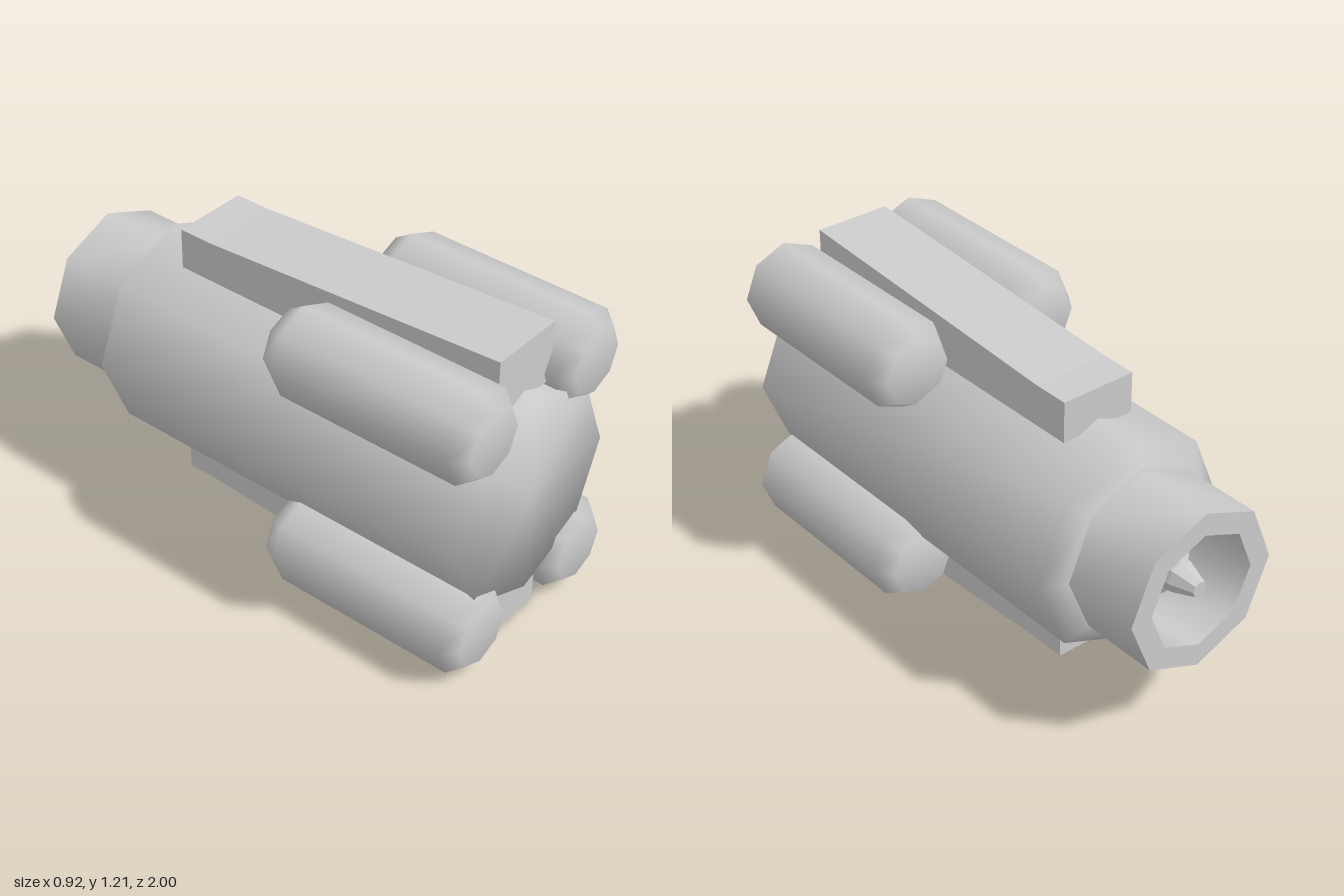
import * as THREE from 'three';
import { toCreasedNormals } from 'three/addons/utils/BufferGeometryUtils.js';

const SIDES = 8;
const MID = 0.61;
const grey = new THREE.MeshStandardMaterial({ color: 0xcccccc });
const faceted = new THREE.MeshStandardMaterial({ color: 0xcccccc, flatShading: true });
const thin = new THREE.MeshStandardMaterial({ color: 0xcccccc, side: THREE.DoubleSide });

// Eight-sided turned shape along z, from [radius, z] pairs
function turned(points) {
  const profile = points.map(([r, z]) => new THREE.Vector2(r, z));
  return new THREE.LatheGeometry(profile, SIDES).rotateX(Math.PI / 2);
}

function add(parent, name, geometry, material = grey) {
  const mesh = new THREE.Mesh(geometry, material);
  mesh.name = name;
  parent.add(mesh);
  return mesh;
}

// Side outline in (z, y), extruded across x and centred
function sideExtrude(points, width) {
  const shape = new THREE.Shape(points.map(([z, y]) => new THREE.Vector2(-z, y)));
  return new THREE.ExtrudeGeometry(shape, { depth: width, bevelEnabled: false })
    .translate(0, 0, -width / 2)
    .rotateY(Math.PI / 2);
}

export function createModel() {
  const model = new THREE.Group();
  model.name = 'engine';

  // Everything on the centre line
  const core = new THREE.Group();
  core.name = 'core';
  core.position.y = MID;
  model.add(core);

  add(core, 'body', turned([
    [0.31, -0.695], [0.33, -0.69], [0.41, -0.65], [0.41, 0.97], [0, 0.97],
  ]));

  // Hollow exhaust nozzle
  add(core, 'nozzle', toCreasedNormals(turned([
    [0, -0.72], [0.225, -0.72], [0.225, -1], [0.313, -1], [0.313, -0.68],
  ]), 0.9));

  // Spike and vanes inside the nozzle
  add(core, 'nozzleSpike', turned([
    [0, -0.99], [0.03, -0.99], [0.06, -0.9], [0.065, -0.82], [0.045, -0.71],
  ]), faceted);
  const vane = new THREE.ShapeGeometry(new THREE.Shape([
    new THREE.Vector2(0, 0.72), new THREE.Vector2(0.22, 0.72), new THREE.Vector2(0.05, 0.88),
  ])).rotateX(-Math.PI / 2);
  for (let i = 0; i < 4; i++) {
    add(core, 'nozzleVane', vane, thin).rotation.z = i * Math.PI / 2;
  }

  // Four chamfered side pods
  const podShape = turned([
    [0, 0.145], [0.13, 0.145], [0.175, 0.215], [0.175, 0.945], [0.125, 1], [0, 1],
  ]);
  for (const x of [-1, 1]) {
    for (const y of [-1, 1]) {
      add(model, 'pod', podShape).position.set(0.287 * x, MID + 0.411 * y, 0);
    }
  }

  // Tapered rails above and below the body
  const railShape = sideExtrude([
    [0.91, 0.375], [0.91, 0.607], [-0.33, 0.533], [-0.47, 0.533], [-0.47, 0.375],
  ], 0.3);
  add(core, 'upperRail', railShape);
  add(core, 'lowerRail', railShape.clone().rotateZ(Math.PI));

  return model;
}
